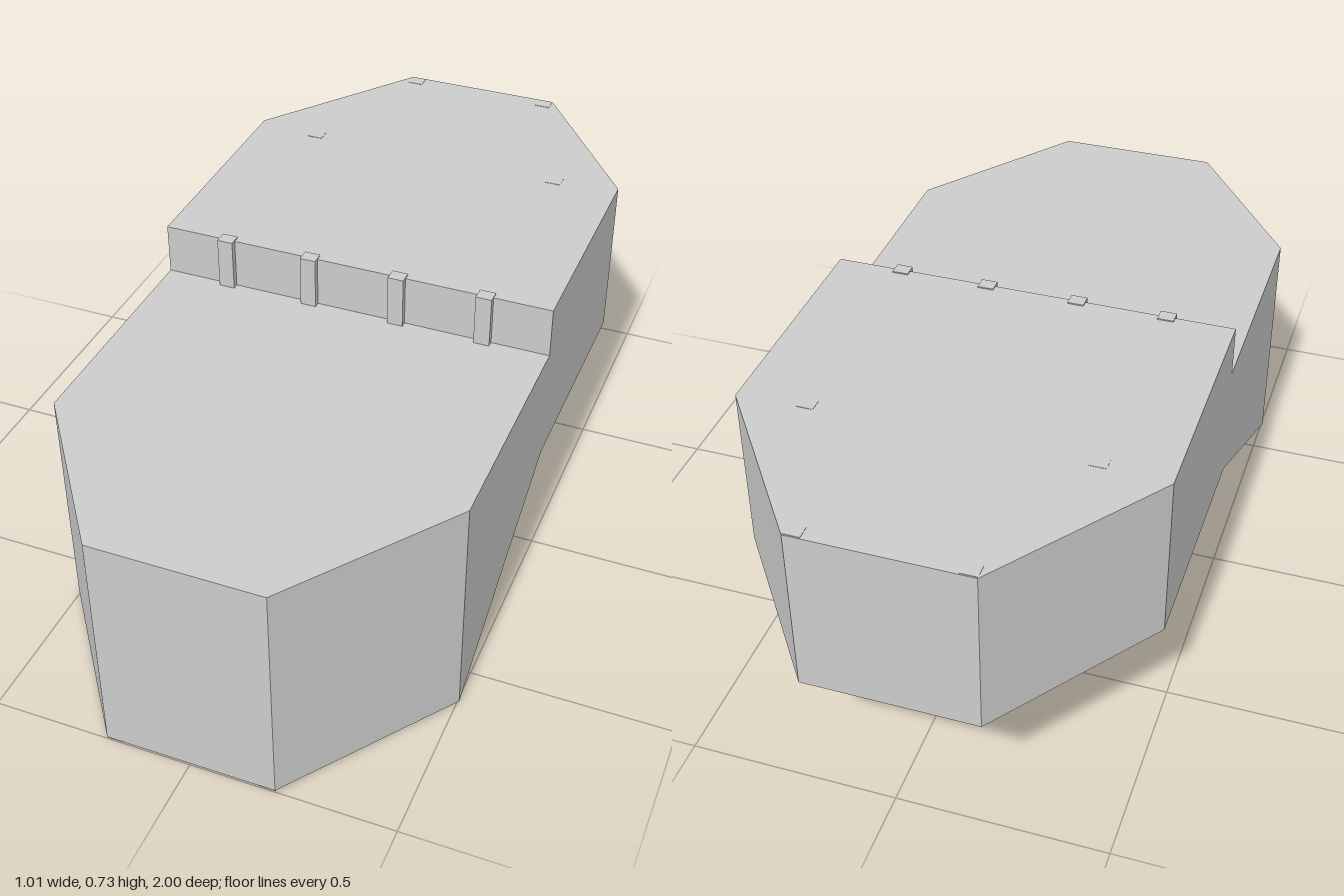
import * as THREE from 'three';
import { ConvexGeometry } from 'three/addons/geometries/ConvexGeometry.js';

const W = 0.505;   // half width of the body
const N = 0.21;    // half width of the clipped ends
const LEG = 0.35;  // half width of the leg under the step
const BASE = 0.005;
const MID = 0.305; // underside of the raised block
const STEP = 0.6;  // top of the front block
const TOP = 0.73;  // top of the raised block

export function createModel() {
  const model = new THREE.Group();
  const material = new THREE.MeshStandardMaterial({ color: 0xcccccc, flatShading: true });

  const add = (name, geometry) => {
    const mesh = new THREE.Mesh(geometry, material);
    mesh.name = name;
    model.add(mesh);
    return mesh;
  };

  // Convex solid from points mirrored across x = 0
  const hull = (name, points) => add(name, new ConvexGeometry(
    points.flatMap(([x, y, z]) => [-x, x].map((sx) => new THREE.Vector3(sx, y, z)))));

  // Box given by its centre x and its y and z limits
  const block = (name, x, width, y0, y1, z0, z1) => {
    const mesh = add(name, new THREE.BoxGeometry(width, y1 - y0, z1 - z0));
    mesh.position.set(x, (y0 + y1) / 2, (z0 + z1) / 2);
  };

  // Front block: clipped nose, flat sole, underside rising to the back
  hull('frontBlock', [
    [W, STEP, 0], [W, STEP, 0.6], [N, STEP, 1],
    [W, MID, 0], [W, BASE, 0.6], [N, BASE, 1],
  ]);

  // Raised back block with clipped corners
  hull('backBlock', [MID, TOP].flatMap((y) => [[W, y, 0], [W, y, -0.6], [N, y, -1]]));

  // Leg filling the middle below the sloped underside
  hull('leg', [
    [LEG, BASE, 0.6], [LEG, BASE, -0.015], [LEG, MID, -0.015], [LEG, MID, 0],
  ]);

  // Row of ribs on the step, with matching tabs behind and below the leg
  for (const x of [-0.338, -0.115, 0.115, 0.338]) {
    block('stepRib', x, 0.04, STEP - 0.005, TOP + 0.003, -0.018, 0.016);
    block('legTab', x, 0.04, MID - 0.006, MID + 0.005, -0.019, 0);
    block('solePad', x, 0.04, 0, BASE + 0.005, -0.019, 0.016);
  }

  // Small pads at the corners, under the sole and on the raised block
  for (const [x, z] of [[0.338, 0.58], [0.19, 0.98]]) {
    for (const side of [-1, 1]) {
      block('solePad', side * x, 0.04, 0, BASE + 0.005, z - 0.017, z + 0.017);
      block('topPad', side * x, 0.04, TOP - 0.005, TOP + 0.001, -z - 0.017, -z + 0.017);
    }
  }

  return model;
}
